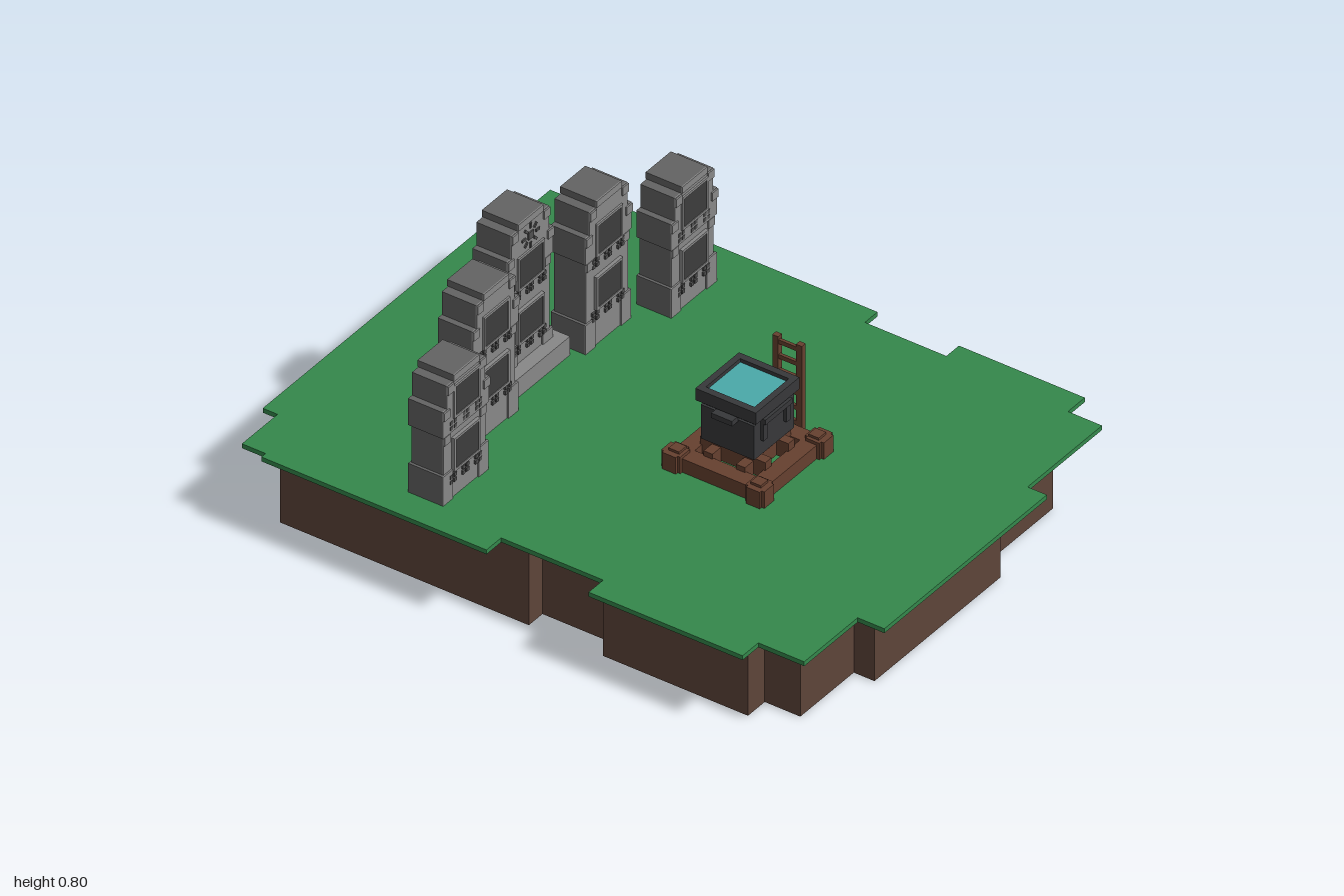
import * as THREE from 'three';

const mat = (name, color) => {
  const m = new THREE.MeshStandardMaterial({ color });
  m.name = name;
  return m;
};

export function createModel() {
  const root = new THREE.Group();
  const grass = mat('grass green', 0x34884b);
  const dirt = mat('dirt brown', 0x5d4439);
  const wood = mat('wood brown', 0x66402f);
  const stone = mat('dark stone', 0x636363);
  const pale = mat('pale stone', 0x888888);
  const panel = mat('panel charcoal', 0x3c3c3c);
  const slot = mat('slot grey', 0x505050);
  const iron = mat('iron', 0x37383a);
  const water = mat('water teal', 0x4aa9a9);

  // Box given by its centre in x and z and its bottom and top in y
  const box = (parent, name, m, x, z, y0, y1, w, d) => {
    const mesh = new THREE.Mesh(new THREE.BoxGeometry(w, y1 - y0, d), m);
    mesh.position.set(x, (y0 + y1) / 2, z);
    mesh.name = name;
    parent.add(mesh);
    return mesh;
  };
  const group = (name, x = 0, y = 0, z = 0) => {
    const g = new THREE.Group();
    g.name = name;
    g.position.set(x, y, z);
    root.add(g);
    return g;
  };

  // Ground slabs: stepped outlines in x and z, extruded upward
  const slab = (name, m, pts, y0, y1) => {
    const shape = new THREE.Shape(pts.map(([x, z]) => new THREE.Vector2(x, -z)));
    const geo = new THREE.ExtrudeGeometry(shape, { depth: y1 - y0, bevelEnabled: false });
    geo.rotateX(-Math.PI / 2);
    const mesh = new THREE.Mesh(geo, m);
    mesh.position.y = y0;
    mesh.name = name;
    root.add(mesh);
  };
  slab('grassLayer', grass, [
    [-0.58, -1], [0.605, -1], [0.605, -0.95], [0.72, -0.95], [0.72, -0.81], [0.77, -0.81],
    [0.77, 0.12], [0.71, 0.12], [0.71, 0.395], [0.77, 0.395], [0.77, 0.82], [0.69, 0.82],
    [0.69, 0.935], [0.335, 0.935], [0.335, 1], [-0.44, 1], [-0.44, 0.91], [-0.695, 0.91],
    [-0.695, 0.755], [-0.77, 0.755], [-0.77, 0.235], [-0.70, 0.235], [-0.70, -0.11], [-0.77, -0.11],
    [-0.77, -0.87], [-0.75, -0.87], [-0.75, -0.95], [-0.58, -0.95],
  ], 0.247, 0.262);
  slab('dirtBlock', dirt, [
    [-0.515, -0.91], [0.495, -0.91], [0.495, -0.86], [0.62, -0.86], [0.62, -0.72], [0.67, -0.72],
    [0.67, 0.03], [0.61, 0.03], [0.61, 0.41], [0.67, 0.41], [0.67, 0.74], [0.59, 0.74],
    [0.59, 0.84], [0.24, 0.84], [0.24, 0.91], [-0.36, 0.91], [-0.36, 0.84], [-0.615, 0.84],
    [-0.615, 0.72], [-0.695, 0.72], [-0.695, 0.23], [-0.63, 0.23], [-0.63, -0.02], [-0.695, -0.02],
    [-0.695, -0.86], [-0.515, -0.86],
  ], 0, 0.247);

  // Carved standing stones: stacked tiers, pale faces, sunken panels and slots
  const pillar = (x, z, top, panels, slots, sun) => {
    const g = group('standingStone', x, 0, z);
    const neck = top - 0.1;
    const tiers = [
      [0.255, neck - 0.09, 0.2, 0.104],
      [neck - 0.09, neck, 0.218, 0.114],
      [neck, top - 0.022, 0.18, 0.114],
      [top - 0.022, top, 0.12, 0.12],
    ];
    tiers.forEach(([y0, y1, w, d], i) => {
      box(g, 'stoneTier', stone, 0, 0, y0, y1, w, d);
      box(g, 'stoneFace', pale, 0, d / 2 + 0.002, y0, y1, w, 0.004);
      // raised edge blocks on the corners of the face
      if (i < 3) for (const s of [-1, 1]) {
        box(g, 'edgeBlock', pale, s * (w / 2 - 0.014), d / 2 + 0.006, y1 - 0.03, y1 - 0.002, 0.028, 0.006);
      }
    });
    box(g, 'footLeft', stone, 0.085, 0, 0.255, 0.36, 0.047, 0.114);
    box(g, 'footRight', stone, -0.085, 0, 0.255, 0.36, 0.047, 0.114);
    for (const s of [-1, 1]) box(g, 'footFace', pale, s * 0.085, 0.059, 0.255, 0.36, 0.047, 0.004);
    for (const y of panels) {
      for (const s of [-1, 1]) {
        box(g, 'frameSide', pale, s * 0.058, 0.061, y - 0.052, y + 0.052, 0.008, 0.012);
        box(g, 'frameRail', pale, 0, 0.061, y + s * 0.052 - 0.004, y + s * 0.052 + 0.004, 0.124, 0.012);
      }
      box(g, 'darkPanel', panel, 0, 0.06, y - 0.048, y + 0.048, 0.108, 0.009);
    }
    // three clusters of four small slots
    for (const y of slots) for (const cx of [-0.06, 0, 0.06]) for (const dx of [-0.009, 0.009]) for (const dy of [-0.009, 0.009]) {
      box(g, 'slot', slot, cx + dx, 0.058, y + dy - 0.006, y + dy + 0.006, 0.012, 0.009);
    }
    if (sun) {
      box(g, 'sunCentre', slot, 0, 0.061, sun - 0.012, sun + 0.012, 0.024, 0.008);
      for (let i = 0; i < 8; i++) {
        const a = i * Math.PI / 4;
        const r = i % 2 ? 0.031 : 0.033;
        const ray = box(g, 'sunRay', slot, Math.cos(a) * r, 0.061, 0, 0.008, 0.018, 0.008);
        ray.position.y = sun + Math.sin(a) * r;
        ray.rotation.z = a;
      }
    }
    return g;
  };
  for (const x of [-0.563, 0.525]) pillar(x, -0.387, 0.68, [0.59, 0.41], [0.513, 0.33]);
  for (const x of [-0.29, 0.248]) pillar(x, -0.48, 0.755, [0.622, 0.442], [0.546, 0.366]);
  pillar(-0.022, -0.553, 0.803, [0.633, 0.45], [0.557, 0.375], 0.735);
  box(root, 'plinth', pale, -0.025, -0.557, 0.255, 0.325, 0.28, 0.205);

  // Timber platform: beams, corner posts and slats
  const base = group('platform', -0.003, 0, 0.228);
  for (const s of [-1, 1]) {
    box(base, 'sideBeam', wood, s * 0.13, 0, 0.262, 0.308, 0.052, 0.3);
    box(base, 'crossBeam', wood, 0, s * 0.13, 0.262, 0.308, 0.3, 0.052);
    box(base, 'bearer', wood, s * 0.055, 0, 0.28, 0.335, 0.03, 0.22);
    box(base, 'slat', wood, 0, s * 0.055, 0.28, 0.325, 0.22, 0.03);
    for (const t of [-1, 1]) {
      box(base, 'cornerPost', wood, s * 0.142, t * 0.142, 0.26, 0.318, 0.064, 0.046);
      box(base, 'cornerPost', wood, s * 0.142, t * 0.142, 0.26, 0.318, 0.046, 0.064);
      box(base, 'postCap', wood, s * 0.138, t * 0.138, 0.318, 0.326, 0.035, 0.035);
    }
  }

  // Square iron cauldron: footed body, hollow rim, handles and water
  const pot = group('cauldron', -0.003, 0, 0.228);
  box(pot, 'foot', iron, 0, 0, 0.333, 0.35, 0.15, 0.15);
  box(pot, 'body', iron, 0, 0, 0.35, 0.465, 0.19, 0.18);
  box(pot, 'neck', iron, 0, 0, 0.46, 0.485, 0.175, 0.17);
  for (const s of [-1, 1]) {
    box(pot, 'rimSide', iron, s * 0.093, 0, 0.48, 0.52, 0.022, 0.19);
    box(pot, 'rimEnd', iron, 0, s * 0.092, 0.48, 0.52, 0.208, 0.02);
    box(pot, 'sideHandle', iron, s * 0.109, 0, 0.458, 0.475, 0.028, 0.07);
    box(pot, 'endHandle', iron, 0, s * 0.098, 0.458, 0.475, 0.13, 0.018);
    for (const t of [-1, 1]) box(pot, 'handleLug', iron, s * 0.055, t * 0.094, 0.4, 0.475, 0.018, 0.012);
  }
  box(pot, 'water', water, 0, 0, 0.485, 0.508, 0.166, 0.166);

  // Ladder leaning place beside the platform
  const ladder = group('ladder', 0.181, 0, 0.238);
  for (const s of [-1, 1]) box(ladder, 'ladderRail', wood, 0, s * 0.04, 0.258, 0.565, 0.018, 0.02);
  for (let i = 0; i < 6; i++) {
    const y = 0.29 + i * 0.05;
    box(ladder, 'rung', wood, -0.002, 0, y, y + 0.014, 0.01, 0.08);
  }
  return root;
}
